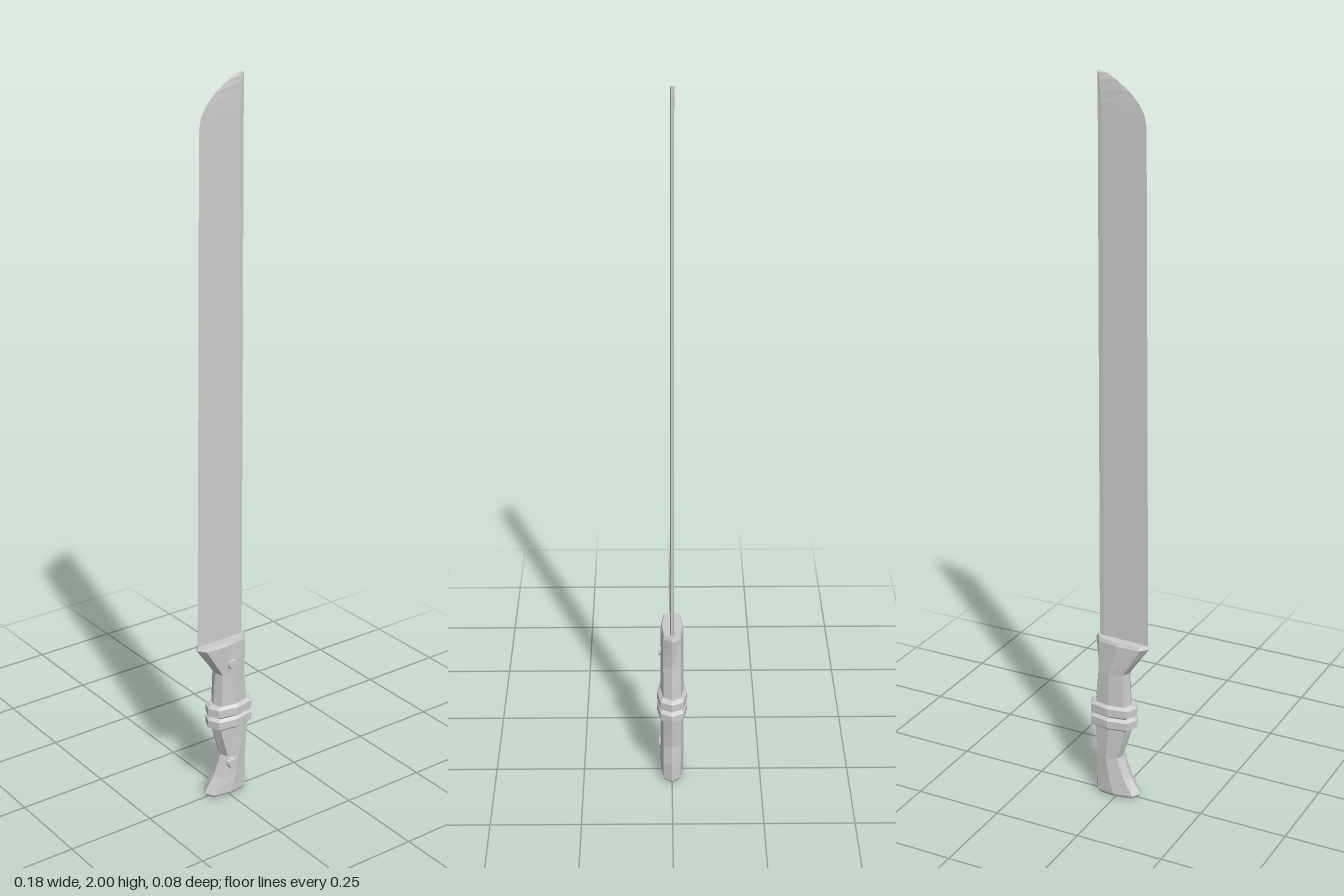
import * as THREE from 'three';

const material = new THREE.MeshStandardMaterial({ color: 0xcccccc, flatShading: true });

// Outline of the grip: [fraction across the width, fraction of half depth]
const OCTAGON = [[0, 0], [0.1, 0.76], [0.5, 1], [0.88, 0.76], [1, 0], [0.88, -0.76], [0.5, -1], [0.1, -0.76]];
// Wedge of the blade: sharp at -x, thick at the spine
const WEDGE = [[0, 0], [0.9, 1], [1, 0.6], [1, -0.6], [0.9, -1]];

// Closed loft through sections [yLeft, yRight, xLeft, xRight, halfDepth]
function loft(name, outline, sections) {
  const n = outline.length;
  const positions = [];
  const index = [];
  for (const [yl, yr, xl, xr, d] of sections) {
    for (const [u, w] of outline) positions.push(xl + (xr - xl) * u, yl + (yr - yl) * u, d * w);
  }
  for (let s = 0; s < sections.length - 1; s++) {
    for (let i = 0; i < n; i++) {
      const j = (i + 1) % n;
      const a = s * n + i, b = s * n + j, c = a + n, e = b + n;
      index.push(a, b, e, a, e, c);
    }
  }
  const top = (sections.length - 1) * n;
  for (let i = 1; i < n - 1; i++) {
    index.push(0, i + 1, i);
    index.push(top, top + i, top + i + 1);
  }
  const indexed = new THREE.BufferGeometry();
  indexed.setAttribute('position', new THREE.Float32BufferAttribute(positions, 3));
  indexed.setIndex(index);
  const geometry = indexed.toNonIndexed();
  geometry.computeVertexNormals();
  const mesh = new THREE.Mesh(geometry, material);
  mesh.name = name;
  return mesh;
}

export function createModel() {
  const group = new THREE.Group();
  group.name = 'machete';

  // Long blade with a rounded, clipped tip
  const blade = [[0.46, -0.087], [1.87, -0.074], [1.9, -0.068], [1.925, -0.054],
    [1.953, -0.028], [1.98, 0.008], [1.995, 0.033], [2, 0.05]];
  group.add(loft('blade', WEDGE, blade.map(([y, x]) => [y, y, x, 0.058, 0.005])));

  // Waisted grip with flared ends
  group.add(loft('grip', OCTAGON, [
    [0.004, 0, -0.06, 0.064, 0.028],
    [0.012, 0.008, -0.066, 0.071, 0.032],
    [0.06, 0.06, -0.035, 0.069, 0.032],
    [0.12, 0.12, -0.011, 0.065, 0.032],
    [0.215, 0.215, -0.041, 0.076, 0.032],
    [0.285, 0.285, -0.036, 0.072, 0.032],
    [0.38, 0.38, -0.03, 0.063, 0.032],
    [0.466, 0.472, -0.09, 0.07, 0.032],
    [0.475, 0.482, -0.085, 0.066, 0.028],
  ]));

  // Pair of raised bands around the middle
  for (const y of [0.23, 0.267]) {
    group.add(loft('gripBand', OCTAGON, [
      [-0.018, 0.034, 0], [-0.011, 0.042, 0.012], [0.011, 0.042, 0.012], [0.018, 0.034, 0],
    ].map(([dy, d, grow]) => [y + dy, y + dy, -0.042 - grow, 0.077 + grow, d])));
  }

  // Rivets on the front face
  for (const y of [0.41, 0.1]) {
    const rivet = new THREE.Mesh(new THREE.CylinderGeometry(0.014, 0.018, 0.014, 12), material);
    rivet.name = 'rivet';
    rivet.rotation.x = Math.PI / 2;
    rivet.position.set(0.008, y, 0.03);
    group.add(rivet);
  }
  return group;
}
